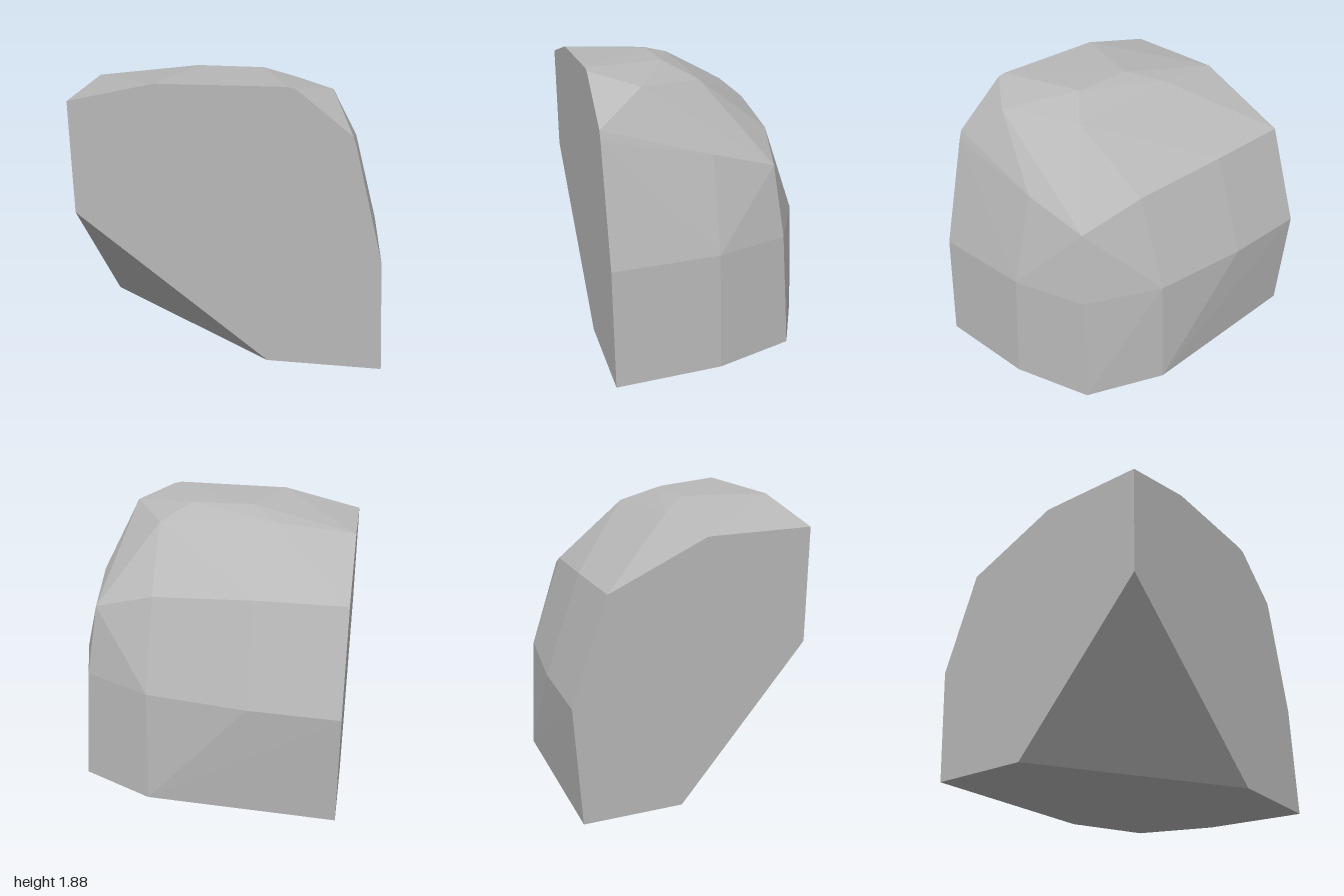
import * as THREE from 'three';
import { ConvexGeometry } from 'three/addons/geometries/ConvexGeometry.js';

// Faceted boulder, sliced flat on the front, one side and the base.
export function createModel() {
  const group = new THREE.Group();
  group.name = 'boulder';
  const stone = new THREE.MeshStandardMaterial({ color: 0xb8b8b8 });
  stone.name = 'stone grey';

  // Corners [x, z] around the outline at each level height
  const levels = [
    { y: 0, ring: [[0.25, 0.78], [1, 0.78], [0.96, 0.08], [0.79, -0.45], [0.28, -0.69], [-0.4, -0.705], [-1, -0.72], [-1, -0.06]] },
    { y: 0.77, ring: [[0.96, 0.78], [0.92, 0.08], [0.76, -0.41], [0.28, -0.66], [-0.4, -0.757], [-1, -0.78]] },
  ];
  // Shoulder corners and crown corners [x, y, z]
  const shoulder = [
    [0.77, 1.53, 0.78], [0.76, 1.38, 0.08], [0.7, 1.25, -0.35],
    [0.28, 1.38, -0.45], [-0.4, 1.43, -0.53], [-1, 1.44, -0.553],
  ];
  const crown = [
    [0.75, 1.59, 0.78], [0.4, 1.87, 0.78], [0.35, 1.88, 0.78], [-0.45, 1.87, 0.78],
    [0.61, 1.8, 0.49], [0.15, 1.86, 0.24], [-0.28, 1.86, 0.24],
    [0.34, 1.755, 0.04], [-0.47, 1.79, 0.04], [-1, 1.73, 0.08], [-1, 1.74, 0.78],
  ];
  // Upper corner of the slanted cut under the front
  const cut = [[-1, 1, 0.78]];

  const points = levels.flatMap(({ y, ring }) => ring.map(([x, z]) => new THREE.Vector3(x, y, z)));
  for (const p of [...shoulder, ...crown, ...cut]) points.push(new THREE.Vector3(...p));

  const rock = new THREE.Mesh(new ConvexGeometry(points), stone);
  rock.name = 'rock';
  group.add(rock);
  return group;
}
